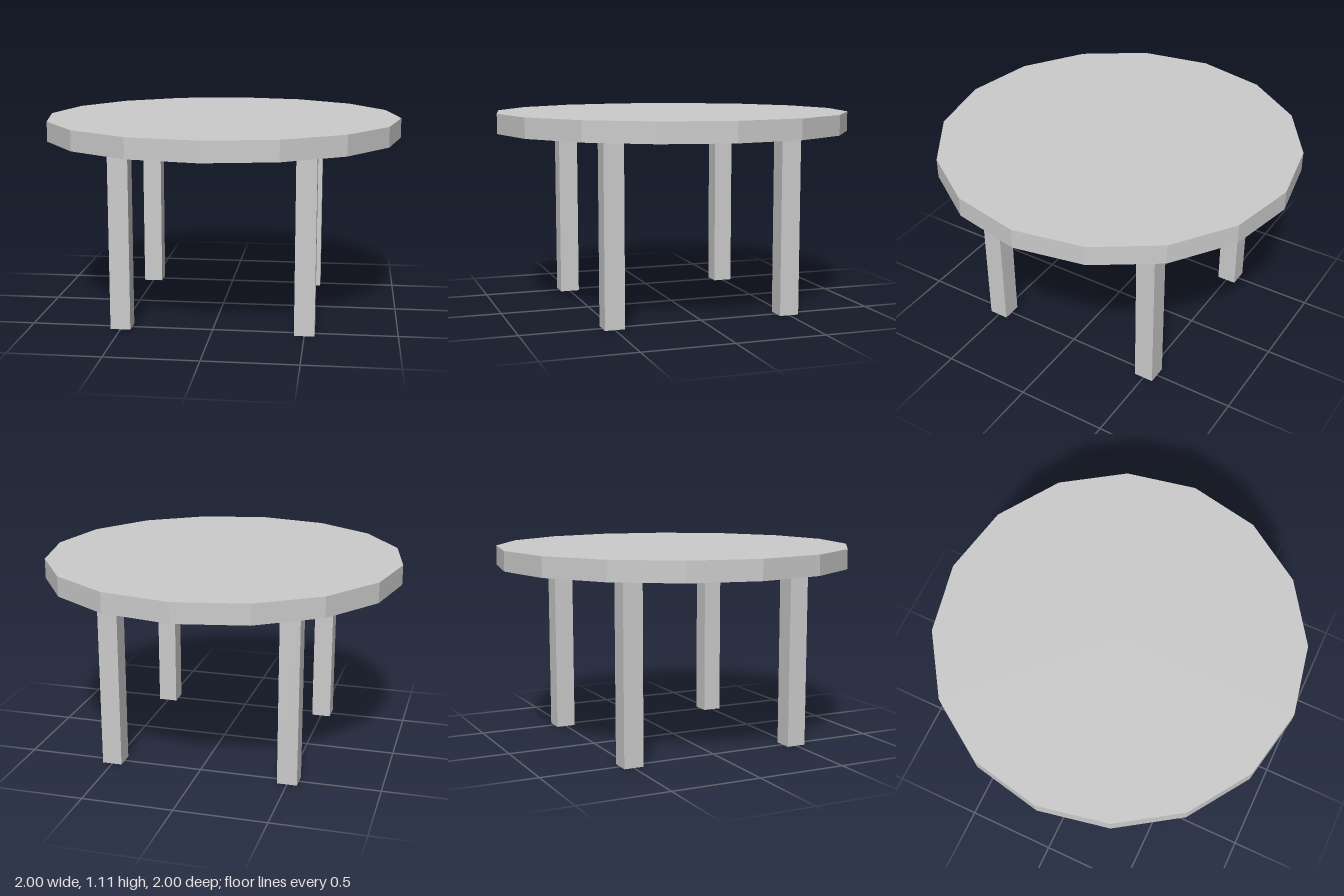
import * as THREE from 'three';

const LEG_HEIGHT = 1.0;
const LEG_WIDTH = 0.11;
const LEG_OFFSET = 0.5;
const TOP_THICKNESS = 0.11;

export function createModel() {
  const table = new THREE.Group();
  table.name = 'roundTable';

  const grey = new THREE.MeshStandardMaterial({ color: 0xcccccc, flatShading: true });
  grey.name = 'plain grey';

  // Sixteen-sided table top
  const top = new THREE.Mesh(new THREE.CylinderGeometry(1, 1, TOP_THICKNESS, 16), grey);
  top.name = 'tableTop';
  top.position.y = LEG_HEIGHT + TOP_THICKNESS / 2;
  table.add(top);

  // Four square legs
  const legGeometry = new THREE.BoxGeometry(LEG_WIDTH, LEG_HEIGHT, LEG_WIDTH);
  for (const [xName, x] of [['Left', 1], ['Right', -1]]) {
    for (const [zName, z] of [['front', 1], ['back', -1]]) {
      const leg = new THREE.Mesh(legGeometry, grey);
      leg.name = `${zName}${xName}Leg`;
      leg.position.set(x * LEG_OFFSET, LEG_HEIGHT / 2, z * LEG_OFFSET);
      table.add(leg);
    }
  }

  return table;
}
